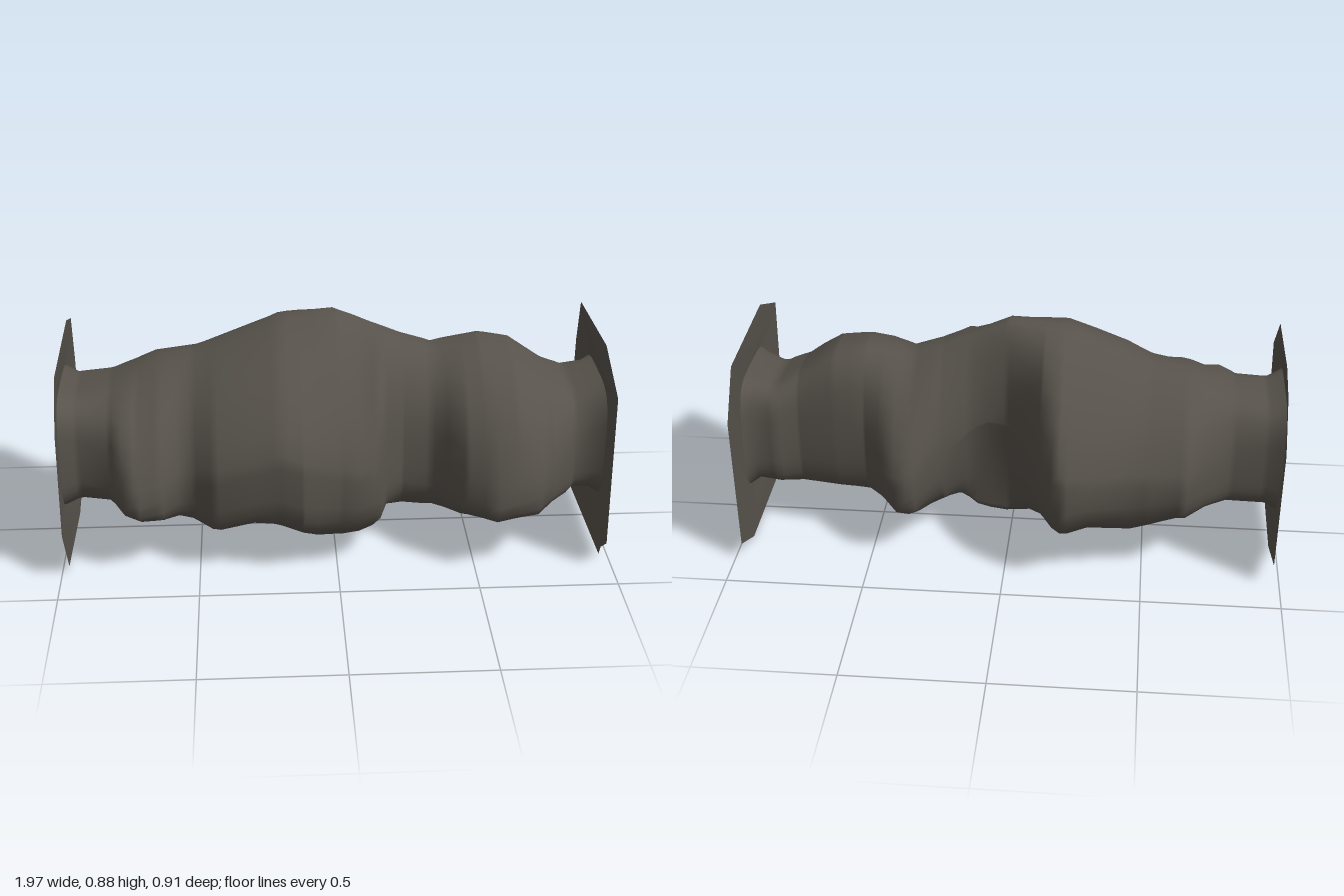
import * as THREE from 'three';

// Profiles along the tunnel: flat lists of x, value
const TOP = [-.99, .63, -.94, .61, -.82, .63, -.65, .7, -.5, .73, -.2, .855, 0, .875, .25, .77, .36, .735, .53, .76, .65, .735, .77, .65, .86, .605, .94, .62, .975, .63];
const BOTTOM = [-.99, .18, -.94, .2, -.8, .2, -.62, .18, -.45, .115, -.28, .155, -.08, .07, .04, .055, .13, .08, .18, .125, .35, .12, .5, .165, .8, .185, .94, .2, .975, .18];
const BACK = [-.99, -.22, -.94, -.2, -.8, -.2, -.72, -.27, -.65, -.37, -.45, -.38, -.23, -.46, -.17, -.43, -.13, -.34, -.07, -.2, .02, -.12, .13, -.12,
  .24, -.2, .33, -.32, .4, -.33, .47, -.24, .52, -.19, .63, -.18, .78, -.15, .86, -.18, .94, -.17, .975, -.2];
const FRONT = [-.99, .23, -.92, .21, -.82, .25, -.76, .37, -.7, .39, -.62, .38, -.57, .32, -.52, .32, -.42, .4, -.3, .42, -.12, .43, 0, .4, .08, .4,
  .16, .35, .19, .23, .25, .2, .36, .22, .45, .36, .57, .45, .72, .42, .78, .33, .84, .27, .88, .21, .94, .22, .975, .24];
// Heights of the widest points
const FRONT_MID = [-.99, .4, -.85, .38, -.7, .3, -.5, .36, -.2, .46, 0, .39, .2, .36, .57, .29, .75, .33, .975, .4];
const BACK_MID = [-.99, .4, -.6, .4, -.23, .42, .07, .5, .22, .42, .38, .3, .55, .4, .975, .4];
// Squareness of each quarter of the section (low = boxy, high = pointed)
const UPPER_FRONT = [-.99, .5, -.85, .7, -.7, 1.15, -.4, 1.15, -.1, 1.35, .1, 1.5, .2, .85, .55, 1.15, .75, 1, .9, .6, .975, .5];
const LOWER_FRONT = [-.99, .5, -.8, .6, -.42, .55, -.15, .6, .05, .7, .2, .7, .57, .65, .8, .6, .975, .5];
const UPPER_BACK = [-.99, .5, -.85, .65, -.65, 1.15, -.23, 1.5, -.1, 1.2, .07, .9, .36, 1.4, .55, .8, .975, .5];
const LOWER_BACK = [-.99, .5, -.85, .6, -.6, .75, -.2, .65, -.08, 1.2, .03, 2.3, .13, 2.3, .24, 1, .36, .75, .6, .7, .975, .5];

function at(table, x) {
  for (let i = 2; i < table.length; i += 2) {
    if (x <= table[i]) {
      const t = (x - table[i - 2]) / (table[i] - table[i - 2]);
      return THREE.MathUtils.lerp(table[i - 1], table[i + 1], t);
    }
  }
  return table[table.length - 1];
}

const AROUND = 32;

// One closed cross-section as [z, y] pairs
function section(x) {
  const points = [];
  const inside = Math.min(1, (1 - Math.abs(x)) * 6);
  const ridge = -.03 * inside;
  for (let i = 0; i < AROUND; i++) {
    const a = (i / AROUND) * Math.PI * 2, s = Math.sin(a), c = Math.cos(a);
    const isFront = s >= 0, isUpper = c >= 0;
    const side = at(isFront ? FRONT : BACK, x);
    const mid = at(isFront ? FRONT_MID : BACK_MID, x);
    const end = at(isUpper ? TOP : BOTTOM, x);
    const p = at(isFront ? (isUpper ? UPPER_FRONT : LOWER_FRONT) : (isUpper ? UPPER_BACK : LOWER_BACK), x);
    const lump = 1 + .018 * inside * Math.sin(13 * x + 3 * a) * Math.sin(5 * a - 8 * x);
    const z = ridge + (side - ridge) * Math.pow(Math.abs(s), p) * lump;
    const y = mid + (end - mid) * Math.pow(Math.abs(c), p);
    points.push([z, y]);
  }
  return points;
}

// Lumpy rock wall lofted through the cross-sections
function wallGeometry() {
  const xs = [...new Set([...TOP, ...BACK, ...FRONT].filter((v, i) => i % 2 === 0))].sort((a, b) => a - b);
  const positions = [], index = [];
  xs.forEach((x, r) => {
    for (const [z, y] of section(x)) positions.push(x, y, z);
    if (r === 0) return;
    for (let i = 0; i < AROUND; i++) {
      const j = (i + 1) % AROUND;
      const a = (r - 1) * AROUND + i, b = (r - 1) * AROUND + j;
      const c = r * AROUND + i, d = r * AROUND + j;
      index.push(a, b, c, b, d, c);
    }
  });
  const g = new THREE.BufferGeometry();
  g.setAttribute('position', new THREE.Float32BufferAttribute(positions, 3));
  g.setIndex(index);
  g.computeVertexNormals();
  return g;
}

// Thin many-cornered collar joined to the end of the wall; each corner is [z, y, x]
function collarGeometry(outline, rimX) {
  const shape = new THREE.Shape(outline.map(([z, y]) => new THREE.Vector2(z, y)));
  shape.holes.push(new THREE.Path(section(rimX).map(([z, y]) => new THREE.Vector2(z, y))));
  const g = new THREE.ShapeGeometry(shape);
  g.rotateY(-Math.PI / 2);
  const pos = g.attributes.position;
  for (let i = 0; i < pos.count; i++) {
    const corner = outline.find(([z, y]) => Math.hypot(z - pos.getZ(i), y - pos.getY(i)) < 1e-4);
    pos.setX(i, corner ? corner[2] : rimX);
  }
  g.computeVertexNormals();
  return g;
}

export function createModel() {
  const model = new THREE.Group();
  model.name = 'rockTunnel';
  const rock = new THREE.MeshStandardMaterial({ color: 0x57524b, side: THREE.DoubleSide });
  rock.name = 'dark rock';

  const add = (name, geometry) => {
    const mesh = new THREE.Mesh(geometry, rock);
    mesh.name = name;
    model.add(mesh);
  };

  add('tunnelWall', wallGeometry());
  add('leftCollar', collarGeometry([
    [.4, .69, .965], [.17, .79, .965], [-.29, .77, .965], [-.37, .58, .975], [-.365, .07, .97],
    [-.21, 0, .965], [.315, .015, .965], [.34, .06, .965], [.4, .11, .97],
  ], .975));
  add('rightCollar', collarGeometry([
    [.4, .6, -.975], [.26, .75, -.98], [-.16, .79, -.975], [-.3, .74, -.975], [-.37, .55, -.98],
    [-.365, .09, -.975], [-.11, 0, -.975], [.31, .02, -.975], [.4, .2, -.98],
  ], -.99));
  return model;
}
